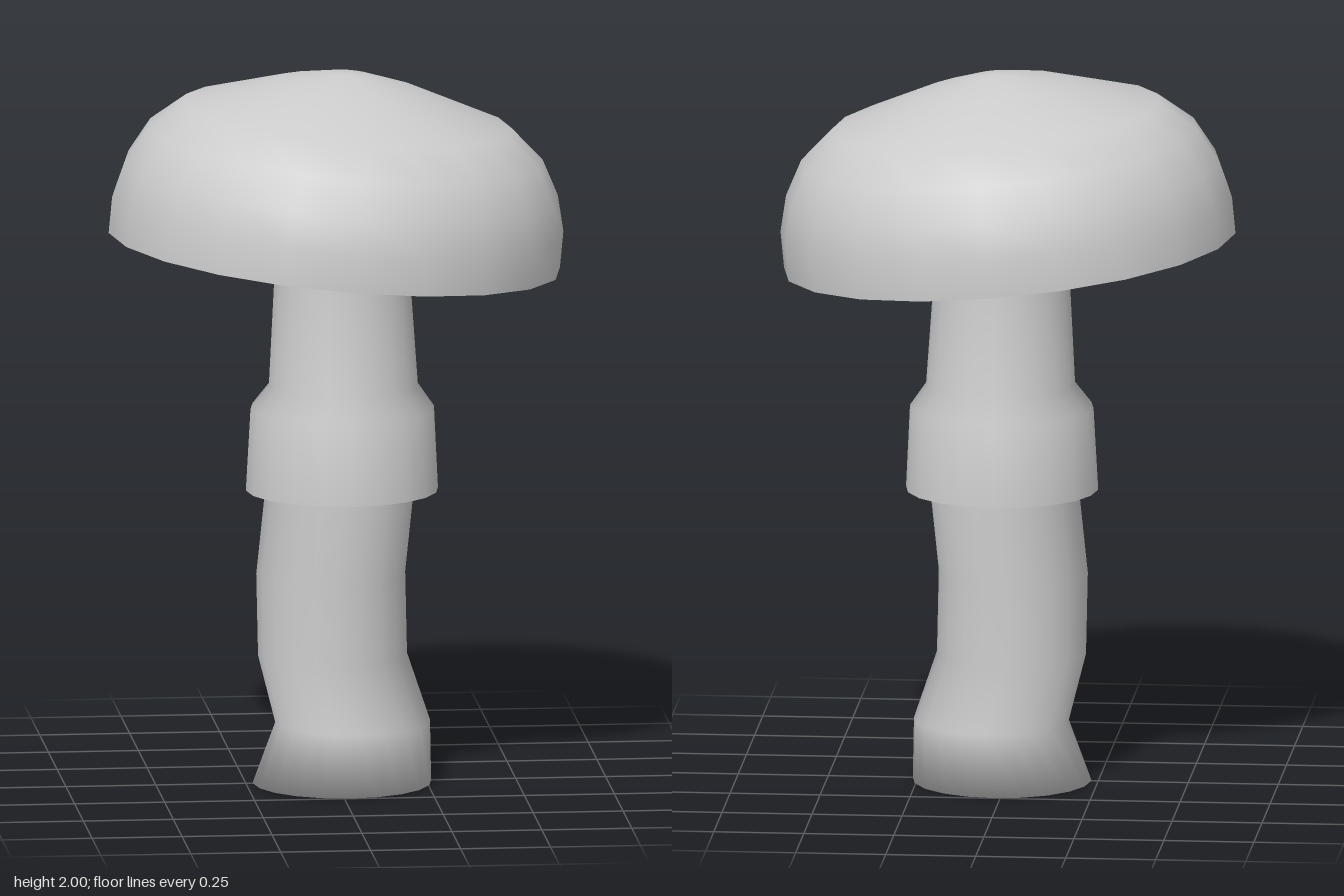
import * as THREE from 'three';

const SIDES = 20;
const material = new THREE.MeshStandardMaterial({ color: 0xcccccc, side: THREE.DoubleSide });

// Smooth lathe from rings of [radius, height, centre x]; the centres bend it sideways
function bentLathe(name, rings) {
  const points = rings.map(([r, y]) => new THREE.Vector2(r, y));
  const geometry = new THREE.LatheGeometry(points, SIDES);
  const pos = geometry.attributes.position;
  for (let i = 0; i < pos.count; i++) {
    pos.setX(i, pos.getX(i) + (rings[i % rings.length][2] ?? 0));
  }
  const mesh = new THREE.Mesh(geometry, material);
  mesh.name = name;
  return mesh;
}

// Stem: a wobbly lower shaft, then the upper shaft that flares into an open skirt
function createStem() {
  const stem = new THREE.Group();
  stem.name = 'stem';
  stem.add(
    bentLathe('lowerStem', [[0, 0, 0.017], [0.248, 0, 0.017], [0.215, 0.17, 0.047],
      [0.207, 0.36, -0.009], [0.207, 0.59, -0.014], [0.207, 0.82, 0.01], [0.203, 1.1, 0.02]]),
    bentLathe('upperStemAndSkirt', [[0.267, 0.825, 0.017], [0.255, 1.055, 0.018],
      [0.207, 1.12, 0.021], [0.184, 1.5, 0.017], [0.178, 1.63, 0.018]]),
  );
  return stem;
}

// Cap: tilted dome with a thin lip, and a hollow underside that sweeps into the stem
function createCap() {
  const cap = new THREE.Group();
  cap.name = 'cap';
  cap.add(
    bentLathe('capUnderside', [[0.168, 0.07], [0.19, 0.14], [0.26, 0.185], [0.34, 0.205],
      [0.43, 0.205], [0.53, 0.155], [0.583, 0.06], [0.595, 0.003], [0.63, -0.002]]),
    bentLathe('capDome', [[0.63, -0.002], [0.63, 0.1], [0.605, 0.2], [0.553, 0.297],
      [0.458, 0.379], [0.21, 0.461], [0.065, 0.495], [0, 0.5]]),
  );
  cap.position.set(-0.004, 1.5, 0);
  cap.rotation.z = -0.096;
  return cap;
}

export function createModel() {
  const mushroom = new THREE.Group();
  mushroom.name = 'mushroom';
  mushroom.add(createStem(), createCap());
  return mushroom;
}
